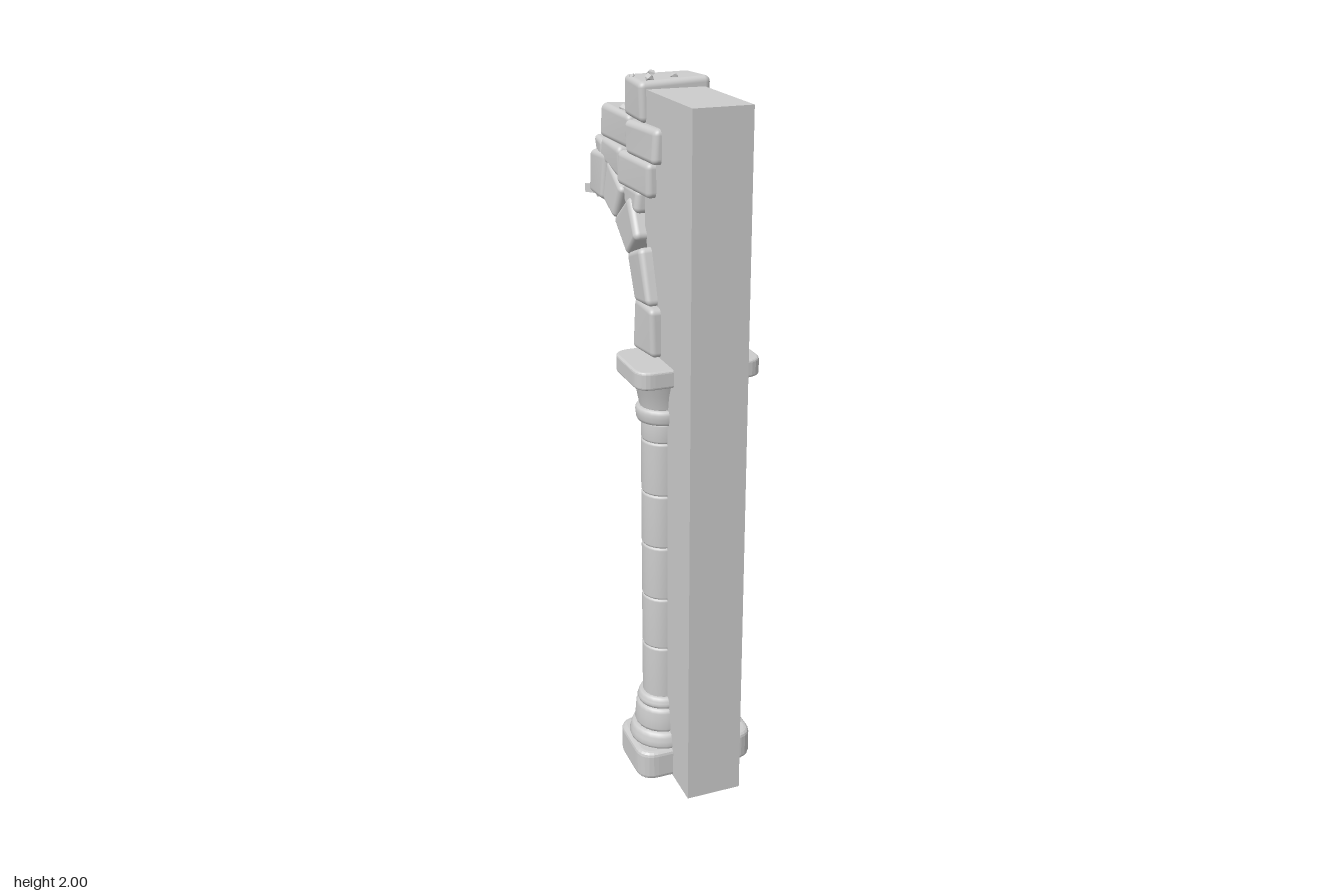
import * as THREE from 'three';
import { RoundedBoxGeometry } from 'three/addons/geometries/RoundedBoxGeometry.js';
import { ConvexGeometry } from 'three/addons/geometries/ConvexGeometry.js';
import { mergeVertices } from 'three/addons/utils/BufferGeometryUtils.js';

const grey = new THREE.MeshStandardMaterial({ color: 0xcccccc });
const chipped = new THREE.MeshStandardMaterial({ color: 0xcccccc, flatShading: true });

function add(group, name, geometry, material = grey) {
  const mesh = new THREE.Mesh(geometry, material);
  mesh.name = name;
  group.add(mesh);
  return mesh;
}

// Worn block: a rounded box stretched onto a four-cornered [z, y] outline, slightly wavy
function stone(corners, halfWidth, seed, radius = 0.016) {
  const [a, b, c, d] = corners.map(p => new THREE.Vector2(...p));
  const depth = (a.distanceTo(b) + c.distanceTo(d)) / 2;
  const height = (b.distanceTo(c) + d.distanceTo(a)) / 2;
  let geo = new RoundedBoxGeometry(halfWidth * 2, height, depth, 4, Math.min(radius, height * 0.3, depth * 0.3));
  geo.deleteAttribute('normal');
  geo.deleteAttribute('uv');
  geo = mergeVertices(geo, 1e-5);
  const pos = geo.attributes.position;
  for (let i = 0; i < pos.count; i++) {
    const x = pos.getX(i), u = pos.getZ(i) / depth + 0.5, v = pos.getY(i) / height + 0.5;
    const low = a.clone().lerp(b, u), high = d.clone().lerp(c, u);
    const p = low.lerp(high, v);
    const wave = 0.004 * Math.sin(seed * 2.3 + x * 19 + u * 2);
    pos.setXYZ(i, x * (1 + 0.035 * Math.sin(seed * 1.7 + u * 3 + v * 2)), p.y + wave, p.x + wave * 0.6);
  }
  geo.computeVertexNormals();
  return geo;
}

const rect = (z0, z1, y0, y1) => [[z0, y0], [z1, y0], [z1, y1], [z0, y1]];

// Plate with rounded plan corners and softened edges
function plate(halfX, halfZ, height, corner, bevel) {
  const x = halfX - bevel, z = halfZ - bevel, s = new THREE.Shape();
  s.moveTo(-x + corner, -z);
  s.lineTo(x - corner, -z);
  s.quadraticCurveTo(x, -z, x, -z + corner);
  s.lineTo(x, z - corner);
  s.quadraticCurveTo(x, z, x - corner, z);
  s.lineTo(-x + corner, z);
  s.quadraticCurveTo(-x, z, -x, z - corner);
  s.lineTo(-x, -z + corner);
  s.quadraticCurveTo(-x, -z, -x + corner, -z);
  const geo = new THREE.ExtrudeGeometry(s, {
    depth: height - 2 * bevel, bevelThickness: bevel, bevelSize: bevel, bevelSegments: 3, curveSegments: 6,
  });
  return geo.rotateX(-Math.PI / 2).translate(0, bevel, 0);
}

// Turned ring or drum with rounded rims
function drum(y0, y1, r0, r1, b) {
  const pts = [[0, y0], [r0 - b, y0], [r0 - b * 0.3, y0 + b * 0.3], [r0, y0 + b],
    [(r0 + r1) / 2 - Math.abs(r1 - r0) * 0.2, (y0 + y1) / 2],
    [r1, y1 - b], [r1 - b * 0.3, y1 - b * 0.3], [r1 - b, y1], [0, y1]];
  return new THREE.LatheGeometry(pts.map(p => new THREE.Vector2(...p)), 24);
}

function column() {
  const g = new THREE.Group();
  add(g, 'lowerBaseRing', drum(0.085, 0.14, 0.1, 0.095, 0.016));
  add(g, 'upperBaseRing', drum(0.135, 0.212, 0.084, 0.08, 0.014));
  add(g, 'baseCollar', drum(0.21, 0.246, 0.076, 0.072, 0.012));
  const seams = [0.24, 0.405, 0.565, 0.727, 0.886, 1.042, 1.1];
  for (let i = 0; i < seams.length - 1; i++)
    add(g, 'shaftDrum', drum(seams[i], seams[i + 1], 0.06, 0.06, 0.007));
  add(g, 'neckRing', drum(1.097, 1.142, 0.073, 0.075, 0.012));
  add(g, 'flaredCapital', drum(1.138, 1.225, 0.064, 0.087, 0.006));
  return g;
}

// Small faceted fragment
function chip(size, seed) {
  const pts = [];
  for (let i = 0; i < 9; i++) {
    const t = i * 2.4 + seed, y = 1 - 2 * (i + 0.5) / 9, r = Math.sqrt(1 - y * y);
    const s = size * (0.85 + 0.25 * Math.sin(seed * 3 + i * 4));
    pts.push(new THREE.Vector3(Math.cos(t) * r * s * 0.8, y * s * 0.7, Math.sin(t) * r * s));
  }
  return new ConvexGeometry(pts);
}

export function createModel() {
  const model = new THREE.Group();
  model.name = 'ruinedArch';

  // Plain wall pier, its inner edge tucked behind columns and arch
  const wall = new THREE.Shape([[-0.37, 0], [-0.14, 0], [-0.14, 1.26], [-0.1, 1.42], [-0.045, 1.6],
    [-0.045, 1.96], [-0.37, 1.96]].map(p => new THREE.Vector2(...p)));
  const wallGeo = new THREE.ExtrudeGeometry(wall, { depth: 0.16, bevelEnabled: false });
  add(model, 'wallPier', wallGeo.translate(0, 0, -0.08).rotateY(Math.PI / 2));

  // Shared base plate and top slab
  add(model, 'basePlate', plate(0.178, 0.105, 0.092, 0.04, 0.014)).position.set(0, 0, 0.15);
  add(model, 'capitalSlab', plate(0.178, 0.105, 0.05, 0.04, 0.007)).position.set(0, 1.22, 0.15);

  // Paired columns
  for (const side of [1, -1]) {
    const col = column();
    col.name = side > 0 ? 'leftColumn' : 'rightColumn';
    col.position.set(side * 0.071, 0, 0.15);
    model.add(col);
  }

  // Wedge stones curving up and inward
  const wedges = [
    [[0.03, 1.265], [0.16, 1.27], [0.16, 1.405], [0.03, 1.41]],
    [[0.03, 1.395], [0.145, 1.415], [0.095, 1.565], [-0.03, 1.515]],
    [[-0.025, 1.51], [0.065, 1.575], [-0.01, 1.675], [-0.115, 1.595]],
    [[-0.115, 1.585], [-0.065, 1.68], [-0.19, 1.742], [-0.213, 1.622]],
    [[-0.215, 1.62], [-0.2, 1.755], [-0.31, 1.75], [-0.348, 1.62]],
  ];
  wedges.forEach((w, i) => add(model, 'archStone', stone(w, 0.111, i + 1)));

  // Jagged broken end of the last wedge
  const lip = new THREE.Shape([[-0.1, 0.29], [0.1, 0.29], [0.108, 0.345], [0.05, 0.352], [-0.01, 0.365],
    [-0.07, 0.35], [-0.112, 0.362], [-0.09, 0.335]].map(p => new THREE.Vector2(...p)));
  const lipGeo = new THREE.ExtrudeGeometry(lip, { depth: 0.025, bevelEnabled: false });
  add(model, 'brokenEdge', lipGeo.rotateX(-Math.PI / 2).translate(0, 1.613, 0), chipped);

  // Masonry courses over the arch
  const courses = [
    [rect(-0.07, 0.035, 1.635, 1.7), 0.1],
    [rect(-0.09, 0.13, 1.695, 1.787), 0.108],
    [[[-0.25, 1.735], [-0.09, 1.69], [-0.09, 1.787], [-0.25, 1.79]], 0.105],
    [rect(-0.312, -0.235, 1.735, 1.787), 0.1],
    [rect(-0.038, 0.168, 1.785, 1.876), 0.103],
    [rect(-0.26, -0.04, 1.787, 1.88), 0.098],
    [rect(-0.08, 0.062, 1.877, 1.983), 0.095],
  ];
  courses.forEach(([r, w], i) => add(model, 'courseStone', stone(r, w, i + 7)));

  // Loose fragments: x, y, z, size
  const chips = [[-0.007, 1.888, -0.2, 0.04], [-0.072, 1.885, -0.135, 0.025], [-0.04, 1.882, -0.107, 0.024],
    [-0.025, 1.985, -0.05, 0.017], [-0.065, 1.985, 0.035, 0.019], [0.01, 1.985, 0.03, 0.017],
    [-0.083, 1.98, -0.037, 0.012]];
  chips.forEach(([x, y, z, s], i) => add(model, 'fragment', chip(s, i + 1), chipped).position.set(x, y, z));

  return model;
}
